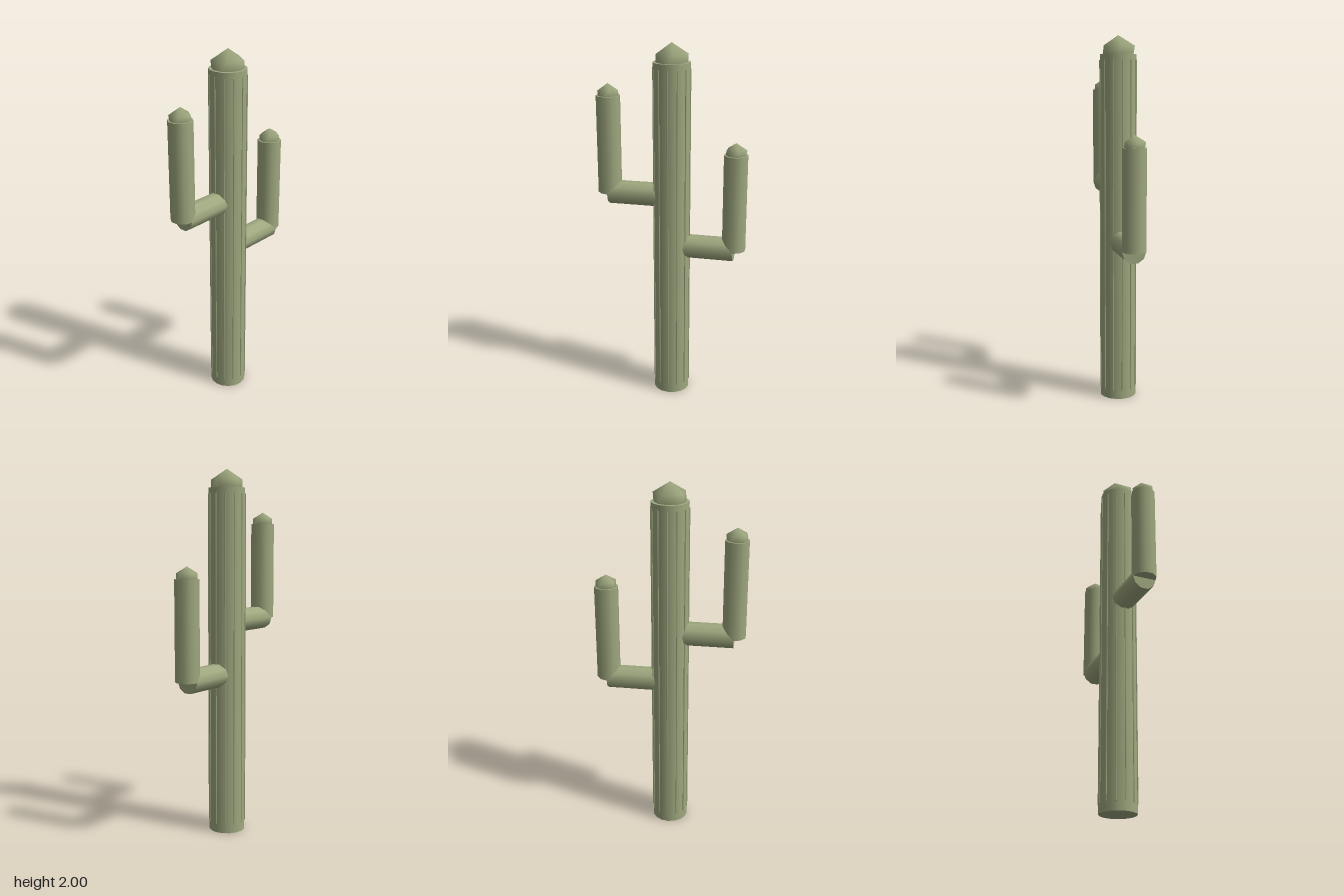
import * as THREE from 'three';

const material = new THREE.MeshStandardMaterial({ color: 0x9fa87f });

function add(parent, name, geometry, x, y, z = 0) {
  const mesh = new THREE.Mesh(geometry, material);
  mesh.name = name;
  mesh.position.set(x, y, z);
  parent.add(mesh);
  return mesh;
}

// Smooth-shaded icosahedron standing on a point, upper ring turned towards +x
function budGeometry(r) {
  const points = [0, r, 0];
  const index = [];
  for (const [h, turn] of [[0.4472, 0], [-0.4472, Math.PI / 5]]) {
    for (let i = 0; i < 5; i++) {
      const a = turn + (i * Math.PI * 2) / 5;
      points.push(0.8944 * r * Math.cos(a), h * r, -0.8944 * r * Math.sin(a));
    }
  }
  points.push(0, -r, 0);
  for (let i = 0; i < 5; i++) {
    const j = (i + 1) % 5;
    const u = 1 + i, un = 1 + j, l = 6 + i, ln = 6 + j;
    index.push(0, u, un, u, l, un, l, ln, un, 11, ln, l);
  }
  const g = new THREE.BufferGeometry();
  g.setAttribute('position', new THREE.Float32BufferAttribute(points, 3));
  g.setIndex(index);
  g.computeVertexNormals();
  return g;
}

// Elbowed arm: a level stub, an upright and a bud
function addArm(parent, name, side, y) {
  const arm = new THREE.Group();
  arm.name = name;
  const r = 0.065, reach = 0.348, height = 0.535, inner = 0.05;
  const stub = add(arm, 'armStub', new THREE.CylinderGeometry(r, r, reach - inner, 10),
    side * (reach + inner) / 2, y);
  stub.rotation.z = Math.PI / 2;
  add(arm, 'armUpright', new THREE.CylinderGeometry(r, r, height, 10), side * reach, y + height / 2);
  add(arm, 'armBud', budGeometry(r), side * reach, y + height);
  parent.add(arm);
}

export function createModel() {
  const cactus = new THREE.Group();
  cactus.name = 'cactus';

  // Trunk and its bud
  add(cactus, 'trunk', new THREE.CylinderGeometry(0.1, 0.1, 1.9, 16), 0, 0.95);
  add(cactus, 'trunkBud', budGeometry(0.1), 0, 1.9);

  // Thin ribs around the trunk
  const rib = new THREE.CylinderGeometry(0.004, 0.004, 1.82, 6);
  for (let i = 0; i < 12; i++) {
    const a = (i * Math.PI) / 6;
    add(cactus, 'rib', rib, 0.1 * Math.sin(a), 0.96, 0.1 * Math.cos(a));
  }

  addArm(cactus, 'leftArm', 1, 0.89);
  addArm(cactus, 'rightArm', -1, 1.177);
  return cactus;
}
